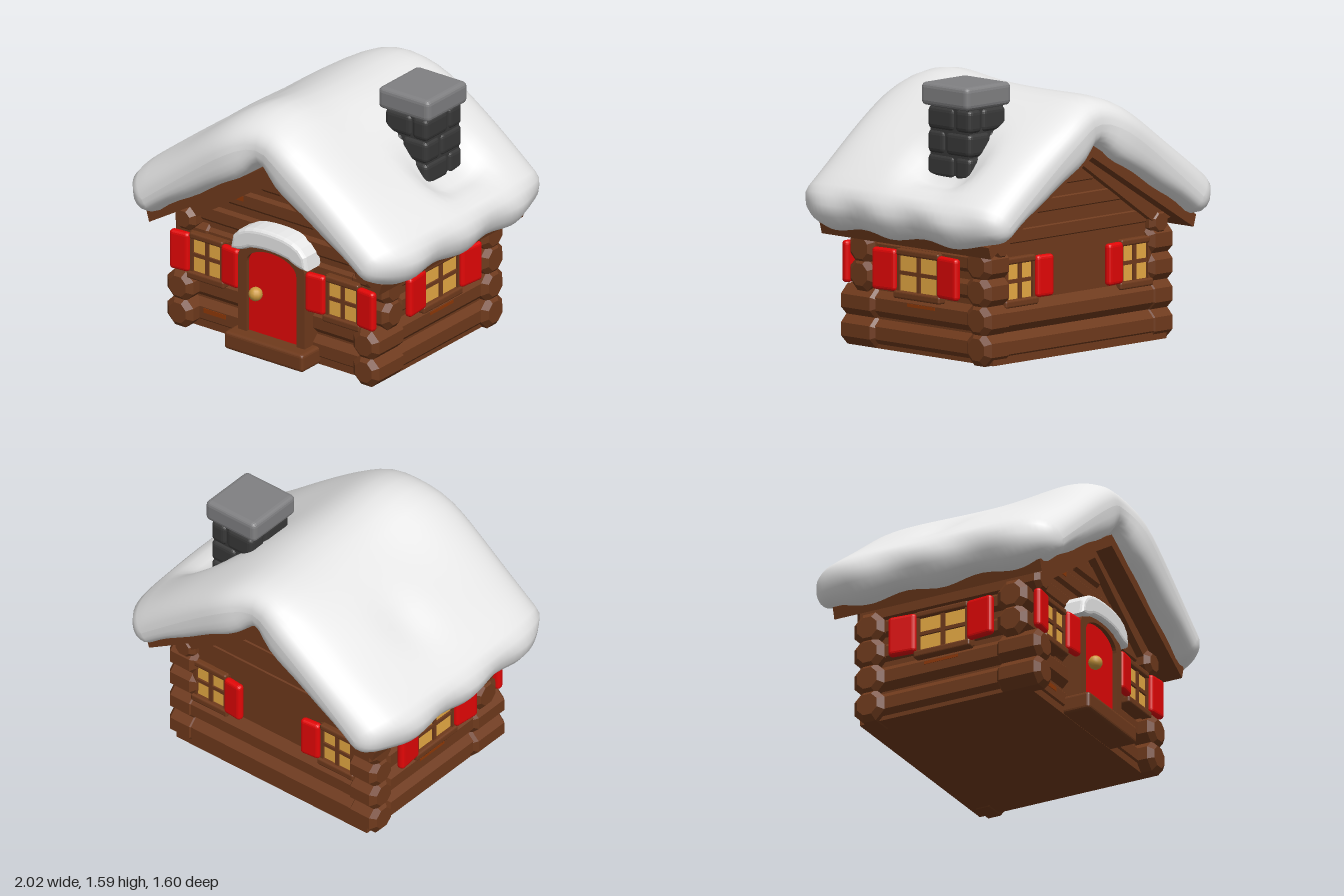
import * as THREE from 'three';
import { RoundedBoxGeometry } from 'three/addons/geometries/RoundedBoxGeometry.js';

const mat = (name, color, flatShading = true) => {
  const m = new THREE.MeshStandardMaterial({ color, flatShading });
  m.name = name;
  return m;
};

export function createModel() {
  const wood = mat('wood', 0x6f3a1c), rust = mat('rusty wood', 0x8f3806), snow = mat('snow', 0xebebeb, false);
  const red = mat('red paint', 0xe20606), glass = mat('lit glass', 0xecae45), stone = mat('dark stone', 0x383838);
  const capStone = mat('cap stone', 0x808082), brass = mat('brass', 0xcd9a3e, false);
  const root = new THREE.Group();
  root.name = 'logCabin';

  const add = (parent, name, geo, m, x = 0, y = 0, z = 0) => {
    const mesh = new THREE.Mesh(geo, m);
    mesh.name = name;
    mesh.position.set(x, y, z);
    parent.add(mesh);
    return mesh;
  };
  const box = (parent, name, m, w, h, d, x, y, z, r = 0) =>
    add(parent, name, r ? new RoundedBoxGeometry(w, h, d, 2, r) : new THREE.BoxGeometry(w, h, d), m, x, y, z);

  // Eight-sided log with bevelled ends and a flat side outwards, running from a to b along the chosen axis
  const log = (name, axis, a, b, r, x, y, z) => {
    const h = Math.abs(b - a) / 2, e = Math.min(0.03, h / 2), R = r / Math.cos(Math.PI / 8);
    const pts = [[0, -h], [R * 0.65, -h], [R, -h + e], [R, h - e], [R * 0.65, h], [0, h]];
    const g = new THREE.LatheGeometry(pts.map(p => new THREE.Vector2(...p)), 8, Math.PI / 8);
    if (axis === 'x') g.rotateZ(-Math.PI / 2); else g.rotateX(Math.PI / 2);
    const mid = (a + b) / 2;
    return add(root, name, g, wood, axis === 'x' ? mid : x, y, axis === 'z' ? mid : z);
  };

  // Flat walls behind the logs
  box(root, 'walls', wood, 1.4, 0.69, 1.03, 0, 0.355, -0.025);
  box(root, 'floor', wood, 1.42, 0.08, 1.1, 0, 0.045, -0.03);

  // Stacked wall logs, with thicker ends at the corners
  [0.098, 0.265, 0.43, 0.585].forEach((y, row) => {
    const low = row < 2, r = low ? 0.09 : 0.085;
    log('frontLog', 'x', -0.72, 0.72, r, 0, y, 0.44);
    if (low) log('backLog', 'x', -0.72, 0.72, r, 0, y, -0.5);
    for (const s of [-1, 1]) {
      log('sideLog', 'z', -0.56, 0.5, low ? 0.09 : 0.075, s * 0.65, y, 0);
      if (low) log('frontCornerLog', 'z', 0.33, 0.62, 0.093, s * 0.672, y, 0);
      else log('frontCornerLog', 'x', s * 0.5, s * 0.77, 0.098, 0, y, 0.44);
      log('backCornerLog', 'x', s * 0.57, s * 0.77, 0.098, 0, y, -0.5);
    }
  });
  for (const s of [-1, 1]) log('wallPlateLog', 'z', -0.6, 0.6, 0.075, s * 0.65, 0.69, 0);

  // Rusty patches on the logs
  box(root, 'rustPatch', rust, 0.16, 0.028, 0.006, -0.47, 0.115, 0.53);
  box(root, 'rustPatch', rust, 0.07, 0.03, 0.006, -0.3, 0.895, 0.525);
  for (const s of [-1, 1]) box(root, 'rustPatch', rust, 0.006, 0.018, 0.22, s * 0.74, 0.29, -0.03);

  // Gables
  const extrude = (pts, depth) => new THREE.ExtrudeGeometry(
    new THREE.Shape(pts.map(p => new THREE.Vector2(...p))), { depth, bevelEnabled: false });
  add(root, 'gable', extrude([[-0.74, 0.64], [0.74, 0.64], [0.74, 0.72], [0, 1.17], [-0.74, 0.72]], 1.045), wood, 0, 0, -0.54);
  for (const y of [0.73, 0.885, 1.03]) {
    const h = (1.15 - y) / 0.6 - 0.03;
    log('frontGableLog', 'x', -h, h, 0.085, 0, y, 0.44);
    log('backGableLog', 'x', -h, h, 0.08, 0, y, -0.467);
  }

  // Roof boards and rafters
  add(root, 'roofBoards', extrude(
    [[-0.83, 0.65], [0, 1.15], [0.83, 0.65], [0.85, 0.72], [0, 1.22], [-0.85, 0.72]], 1.36), wood, 0, 0, -0.68);
  for (const z of [-0.59, 0.52])
    add(root, 'rafters', extrude([[-0.62, 0.68], [0, 1.1], [0.62, 0.68], [0.74, 0.71], [0, 1.17], [-0.74, 0.71]], 0.05), wood, 0, 0, z);

  // Snow blanket: rounded section along the roof line, swept from back to front
  const lineY = x => 1.5 - 0.75 * Math.hypot(x, 0.2);
  const section = [], N = 24, E = 0.85, C = 7;
  const normal = x => Math.atan2(1, 0.75 * x / Math.hypot(x, 0.2));
  for (let i = 0; i <= N; i++) { const x = E - 2 * E * i / N; section.push([x, normal(x)]); }
  for (let i = 1; i < C; i++) section.push([-E, normal(-E) + Math.PI * i / C]);
  for (let i = 0; i <= N; i++) { const x = -E + 2 * E * i / N; section.push([x, normal(x) + Math.PI]); }
  for (let i = 1; i < C; i++) section.push([E, normal(E) + Math.PI + Math.PI * i / C]);
  const M = 40, n = section.length, pos = [], idx = [];
  const bump = (x, z, cx, cz, wx, wz) => Math.exp(-(((x - cx) / wx) ** 2) - ((z - cz) / wz) ** 2);
  for (let j = 0; j <= M; j++) {
    const s = Math.sin((j / M - 0.5) * Math.PI), f = Math.pow(Math.max(0, 1 - Math.abs(s) ** 8), 0.42);
    section.forEach(([cx, a]) => {
      const z = 0.8 * s, up = Math.sin(a) > 0.3;
      // the lower edge is scalloped and hangs over the board ends at both gables
      const hang = s ** 4 * (0.2 * (1 - (cx / E) ** 4) + 0.55 * bump(Math.abs(cx), 0, 0.3, 0, 0.22, 1));
      const wave = up ? 0.03 * Math.sin(cx * 9 + z * 5) : 0.1 * Math.sin(z * 13 + 1) - 0.02 + 0.06 * Math.sin(Math.abs(cx) * 17 - 2) + hang;
      const r = 0.15 * f * (1 + wave);
      const x = cx + r * Math.cos(a);
      let y = lineY(cx) + r * Math.sin(a) + 0.04 * bump(cx, z, 0, 0.52, 0.4, 0.26);
      // hollows beside the chimney and on the opposite slope
      if (up) y -= 0.12 * Math.exp(-(((x - 0.68) / 0.14) ** 2) - ((z + 0.165) / 0.24) ** 4) + 0.035 * bump(x, z, -0.6, -0.1, 0.15, 0.15);
      pos.push(x * (1 - 0.03 * s * s - 0.04 * s ** 8), y, z * (1 - 0.05 * bump(cx, 0, 0, 0, 0.15, 1)));
    });
  }
  for (let j = 0; j < M; j++) for (let i = 0; i < n; i++) {
    const k = (i + 1) % n, a = j * n + i, b = j * n + k;
    idx.push(a, b, b + n, a, b + n, a + n);
  }
  const blanket = new THREE.BufferGeometry();
  blanket.setAttribute('position', new THREE.Float32BufferAttribute(pos, 3));
  blanket.setIndex(idx);
  blanket.computeVertexNormals();
  add(root, 'roofSnow', blanket, snow);

  // Chimney of staggered stones with a slab on top
  const chimney = new THREE.Group();
  chimney.name = 'chimney';
  root.add(chimney);
  box(chimney, 'chimneyCore', stone, 0.28, 0.6, 0.31, 0.505, 1.16, -0.165);
  for (let row = 0; row < 4; row++) {
    const y = 0.965 + row * 0.14, xs = 0.505 + (row % 2 ? 0.04 : -0.03), zs = -0.165 + (row % 2 ? -0.045 : 0.03);
    for (const [x0, x1] of [[0.35, xs], [xs, 0.66]]) for (const [z0, z1] of [[-0.34, zs], [zs, 0.01]])
      box(chimney, 'chimneyStone', stone, x1 - x0 - 0.004, 0.138, z1 - z0 - 0.004, (x0 + x1) / 2, y, (z0 + z1) / 2, 0.03);
  }
  box(chimney, 'chimneyCap', capStone, 0.37, 0.135, 0.38, 0.505, 1.522, -0.16, 0.03);

  // Window facing +z with cross bars, sill, lintel and shutters on the listed sides
  const windowUnit = (name, w, x, z, turn, shutterW, sides) => {
    const g = new THREE.Group();
    g.name = name;
    g.position.set(x, 0.475, z);
    g.rotation.y = turn;
    root.add(g);
    box(g, 'windowBacking', wood, w + 0.06, 0.26, 0.08, 0, 0, -0.045);
    box(g, 'windowGlass', glass, w, 0.22, 0.008, 0, 0, 0);
    box(g, 'uprightBar', wood, 0.025, 0.22, 0.02, 0, 0, 0.006);
    box(g, 'crossBar', wood, w, 0.022, 0.02, 0, 0, 0.006);
    for (const s of [-1, 1]) box(g, 'windowJamb', wood, 0.025, 0.24, 0.03, s * (w / 2 + 0.008), 0, 0.004);
    box(g, 'windowSill', wood, w + 0.06, 0.045, 0.06, 0, -0.128, 0.004, 0.012);
    box(g, 'windowLintel', wood, w + 0.03, 0.04, 0.05, 0, 0.12, 0.002, 0.012);
    for (const s of sides) {
      const p = box(g, 'shutter', red, shutterW, 0.245, 0.05, s * (w / 2 + 0.012 + shutterW / 2), 0.01, 0.024, 0.022);
      p.rotation.y = -s * 0.1;
    }
  };
  for (const s of [-1, 1]) {
    windowUnit('frontWindow', 0.21, s * 0.49, 0.565, 0, 0.132, [-1, 1]);
    windowUnit('backWindow', 0.21, s * 0.47, -0.547, Math.PI, 0.13, [s]);
    windowUnit('sideWindow', 0.31, s * 0.735, -0.015, s * Math.PI / 2, 0.175, [-1, 1]);
  }

  // Arched door, frame, step, knob and snow hood
  const arch = (hw, y0, ySide, yTop, path = new THREE.Shape()) => {
    path.moveTo(-hw, y0);
    path.lineTo(hw, y0);
    path.lineTo(hw, ySide);
    path.absellipse(0, ySide, hw, yTop - ySide, 0, Math.PI, false);
    path.lineTo(-hw, y0);
    return path;
  };
  const frame = arch(0.24, 0.03, 0.58, 0.7);
  frame.holes.push(arch(0.18, 0.1, 0.56, 0.655, new THREE.Path()));
  const solid = (shape, depth) => new THREE.ExtrudeGeometry(shape, { depth, bevelEnabled: false, curveSegments: 10 });
  add(root, 'doorFrame', solid(frame, 0.15), wood, 0, 0, 0.46);
  add(root, 'door', solid(arch(0.185, 0.11, 0.56, 0.66), 0.12), red, 0, 0, 0.465);
  box(root, 'doorStep', wood, 0.57, 0.11, 0.22, 0, 0.062, 0.58, 0.02);
  add(root, 'doorKnob', new THREE.SphereGeometry(0.042, 12, 8), brass, -0.1, 0.38, 0.628);

  const hood = new THREE.Shape();
  hood.moveTo(0.25, 0.65);
  hood.bezierCurveTo(0.25, 0.76, 0.1, 0.775, 0, 0.775);
  hood.bezierCurveTo(-0.1, 0.775, -0.25, 0.76, -0.25, 0.65);
  hood.quadraticCurveTo(-0.2, 0.655, -0.15, 0.685);
  hood.quadraticCurveTo(0, 0.72, 0.15, 0.685);
  hood.quadraticCurveTo(0.2, 0.655, 0.25, 0.65);
  add(root, 'doorSnow', new THREE.ExtrudeGeometry(hood,
    { depth: 0.14, bevelThickness: 0.025, bevelSize: 0.025, bevelSegments: 3, curveSegments: 6 }), snow, 0, 0, 0.48);

  return root;
}
